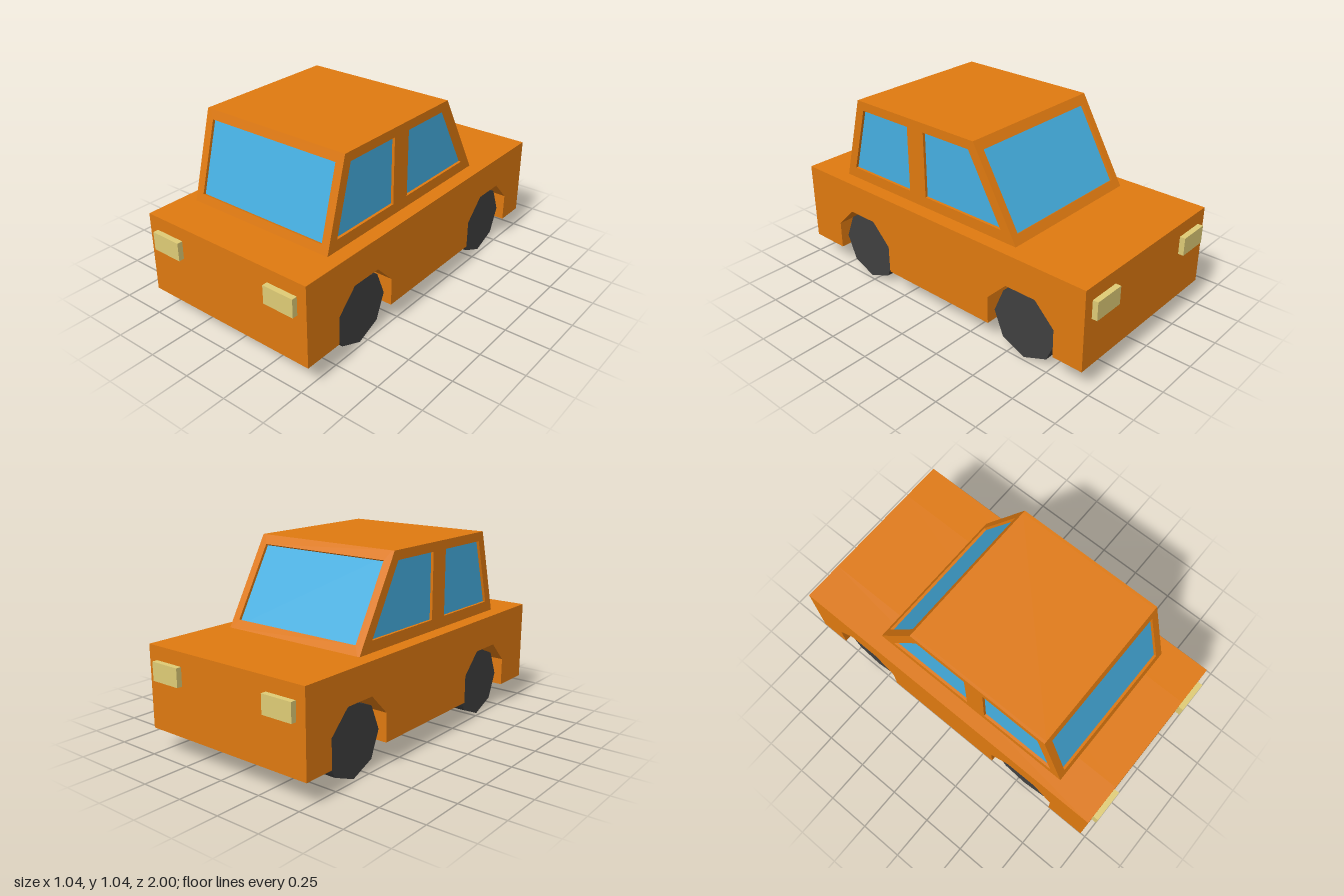
import * as THREE from 'three';

const paint = new THREE.MeshStandardMaterial({ name: 'orange paint', color: 0xe07a10 });
const glass = new THREE.MeshStandardMaterial({ name: 'blue glass', color: 0x46b0e2 });
const rubber = new THREE.MeshStandardMaterial({ name: 'dark rubber', color: 0x404040 });
const lampYellow = new THREE.MeshStandardMaterial({ name: 'lamp yellow', color: 0xdfcc76 });

const BODY = { x: 0.52, z: 0.97, bottom: 0.13, top: 0.575, wellX: 0.29 };
const CABIN = { x: 0.44, top: 1.045, front: 0.73, roofFront: 0.6, roofBack: -0.23, back: -0.5 };
const SKIN = 0.015; // thickness of the cabin shell, so the glass sits recessed
const AXLES = [0.54, -0.595];

const outline = (points) => points.map(([a, b]) => new THREE.Vector2(a, b));

// Side profile given as (z, y), extruded across x from x0 to x1
function sideExtrude(points, holes, x0, x1) {
  const shape = new THREE.Shape(outline(points));
  holes.forEach((h) => shape.holes.push(new THREE.Path(outline(h))));
  const geometry = new THREE.ExtrudeGeometry(shape, { depth: x1 - x0, bevelEnabled: false });
  return geometry.rotateY(-Math.PI / 2).translate(x1, 0, 0);
}

function add(parent, name, geometry, material, x = 0, y = 0, z = 0) {
  const mesh = new THREE.Mesh(geometry, material);
  mesh.name = name;
  mesh.position.set(x, y, z);
  parent.add(mesh);
  return mesh;
}

// Sloped end of the cabin with a window opening; facing is 1 for front, -1 for back
function slopedFrame(zBottom, zTop, facing) {
  const height = CABIN.top - BODY.top;
  const run = Math.abs(zBottom - zTop);
  const length = Math.hypot(height, run);
  const along = (y) => ((y - BODY.top) / height) * length;
  const w = CABIN.x - SKIN;
  const shape = new THREE.Shape(outline([[-w, 0], [w, 0], [w, length], [-w, length]]));
  const [low, high] = [along(0.62), along(0.997)];
  shape.holes.push(new THREE.Path(outline([[-0.395, low], [-0.395, high], [0.395, high], [0.395, low]])));
  const geometry = new THREE.ExtrudeGeometry(shape, { depth: SKIN, bevelEnabled: false });
  geometry.translate(0, 0, -SKIN).rotateX(-Math.atan2(run, height));
  if (facing < 0) geometry.rotateY(Math.PI);
  return geometry.translate(0, BODY.top, zBottom);
}

export function createModel() {
  const car = new THREE.Group();
  car.name = 'car';

  // Lower body: a core between the wheel wells, and two flanks with arch cutouts
  const body = new THREE.Group();
  body.name = 'lowerBody';
  car.add(body);
  const bodyHeight = BODY.top - BODY.bottom;
  add(body, 'bodyCore', new THREE.BoxGeometry(BODY.wellX * 2, bodyHeight, BODY.z * 2), paint,
    0, BODY.bottom + bodyHeight / 2, 0);
  const flank = [[-BODY.z, BODY.top], [-BODY.z, BODY.bottom]];
  for (const z of [...AXLES].reverse()) {
    flank.push([z - 0.205, BODY.bottom], [z - 0.205, 0.285], [z - 0.09, 0.4],
      [z + 0.09, 0.4], [z + 0.205, 0.285], [z + 0.205, BODY.bottom]);
  }
  flank.push([BODY.z, BODY.bottom], [BODY.z, BODY.top]);
  add(body, 'leftFlank', sideExtrude(flank, [], BODY.wellX, BODY.x), paint);
  add(body, 'rightFlank', sideExtrude(flank, [], -BODY.x, -BODY.wellX), paint);

  // Cabin shell around a glass core
  const cabin = new THREE.Group();
  cabin.name = 'cabin';
  car.add(cabin);
  const profile = [[CABIN.front, BODY.top], [CABIN.roofFront, CABIN.top],
    [CABIN.roofBack, CABIN.top], [CABIN.back, BODY.top]];
  const sideWindows = [
    [[0.66, 0.635], [0.56, 0.995], [0.225, 0.995], [0.225, 0.635]],
    [[0.11, 0.635], [0.11, 0.995], [-0.198, 0.995], [-0.403, 0.635]],
  ];
  const inner = CABIN.x - SKIN;
  add(cabin, 'leftWindowFrame', sideExtrude(profile, sideWindows, inner, CABIN.x), paint);
  add(cabin, 'rightWindowFrame', sideExtrude(profile, sideWindows, -CABIN.x, -inner), paint);
  add(cabin, 'windscreenFrame', slopedFrame(CABIN.front, CABIN.roofFront, 1), paint);
  add(cabin, 'rearWindowFrame', slopedFrame(CABIN.back, CABIN.roofBack, -1), paint);
  add(cabin, 'roof', new THREE.BoxGeometry(inner * 2, SKIN, CABIN.roofFront - CABIN.roofBack), paint,
    0, CABIN.top - SKIN / 2, (CABIN.roofFront + CABIN.roofBack) / 2);
  const glassProfile = [[CABIN.front - 0.0155, BODY.top], [CABIN.roofFront - 0.0125, CABIN.top - 0.011],
    [CABIN.roofBack + 0.011, CABIN.top - 0.011], [CABIN.back + 0.0172, BODY.top]];
  add(cabin, 'windows', sideExtrude(glassProfile, [], -inner, inner), glass);

  // Wheels and lamps
  const wheelGeometry = new THREE.CylinderGeometry(0.195, 0.195, 0.14, 8).rotateZ(Math.PI / 2);
  const lampGeometry = new THREE.BoxGeometry(0.18, 0.1, 0.03);
  for (const [side, sx] of [['left', 1], ['right', -1]]) {
    AXLES.forEach((z, i) => {
      add(car, side + (i ? 'RearWheel' : 'FrontWheel'), wheelGeometry, rubber, sx * 0.41, 0.195, z);
    });
    for (const [end, sz] of [['Head', 1], ['Tail', -1]]) {
      add(car, side + end + 'Lamp', lampGeometry, lampYellow, sx * 0.375, 0.45, sz * 0.985);
    }
  }
  return car;
}
